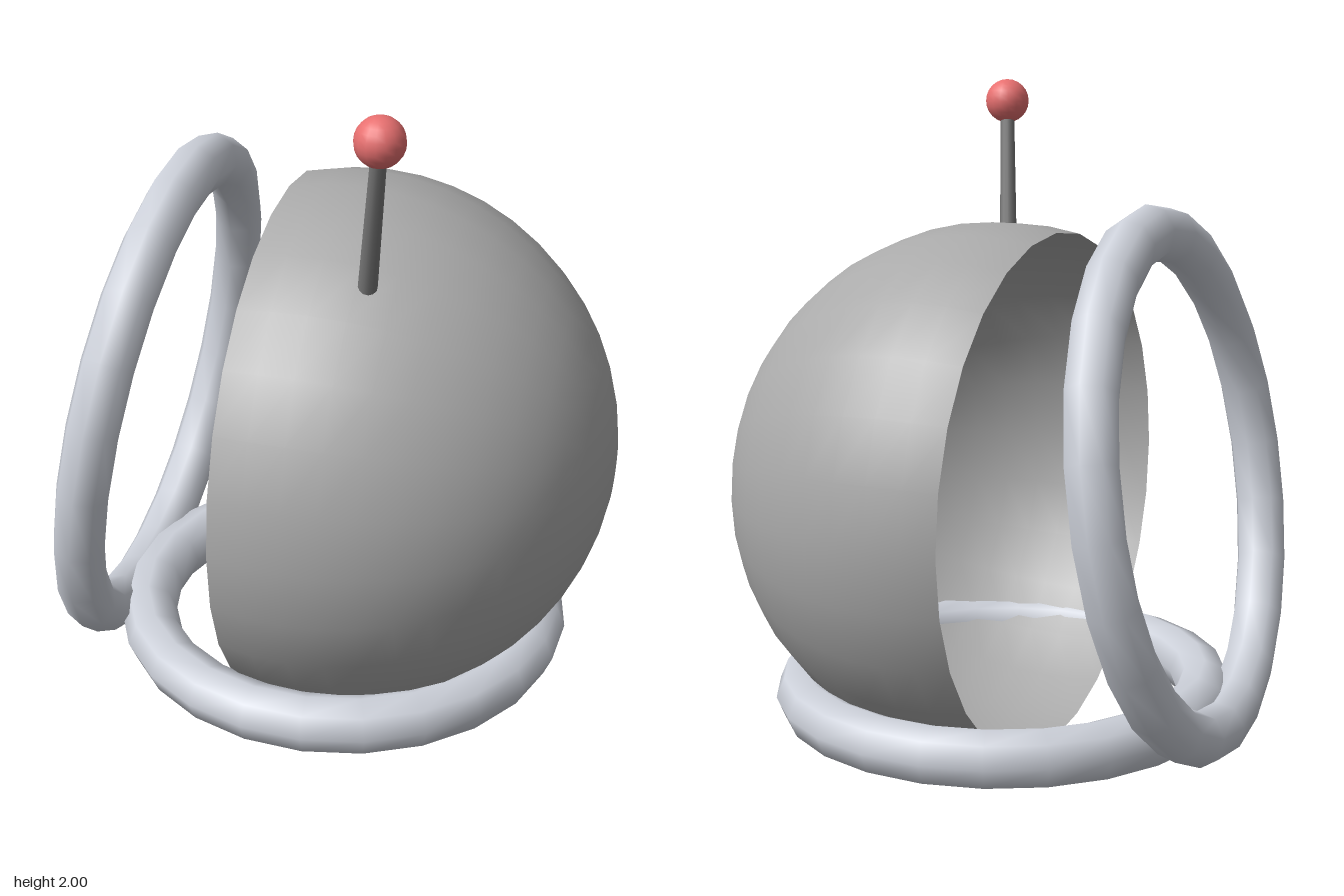
import * as THREE from 'three';

const mat = (color, side = THREE.FrontSide) => new THREE.MeshStandardMaterial({ color, side });

export function createModel() {
  const model = new THREE.Group();
  const add = (name, geometry, material, x, y, z) => {
    const mesh = new THREE.Mesh(geometry, material);
    mesh.name = name;
    mesh.position.set(x, y, z);
    model.add(mesh);
    return mesh;
  };

  const ringMat = mat(0xccd0d9);
  const heading = 0.69; // the open shell and rear ring are turned about y

  // Open spherical shell, a little deeper than half a sphere
  const shellGeo = new THREE.SphereGeometry(0.8, 28, 14, 0, Math.PI * 2, 0, 1.81);
  shellGeo.rotateX(Math.PI / 2); // pole now points to +z
  add('shell', shellGeo, mat(0xaaaaaa, THREE.DoubleSide), 0.083, 0.8, 0.083).rotation.y = heading;

  // Flat ring at the neck
  const neckGeo = new THREE.TorusGeometry(0.615, 0.087, 8, 24);
  neckGeo.rotateX(Math.PI / 2);
  add('neckRing', neckGeo, ringMat, 0.07, 0.177, 0.07);

  // Taller oval ring behind the opening, its top leaning towards the shell
  const rearGeo = new THREE.TorusGeometry(0.7, 0.078, 8, 24);
  rearGeo.scale(0.93, 1.05, 1);
  const rear = add('rearRing', rearGeo, ringMat, -0.3, 0.865, -0.375);
  rear.rotation.set(0.164, heading, 0, 'YXZ');

  // Antenna rod with a ball on its tip
  const base = new THREE.Vector3(-0.12, 1.47, 0.44);
  const tip = new THREE.Vector3(-0.173, 1.932, 0.557);
  const dir = tip.clone().sub(base);
  const mid = base.clone().lerp(tip, 0.5);
  const rod = add('antennaRod', new THREE.CylinderGeometry(0.021, 0.027, dir.length(), 12),
    mat(0x777777), mid.x, mid.y, mid.z);
  rod.quaternion.setFromUnitVectors(new THREE.Vector3(0, 1, 0), dir.normalize());
  add('antennaBall', new THREE.SphereGeometry(0.068, 16, 12), mat(0xe87070), tip.x, tip.y, tip.z);

  return model;
}
